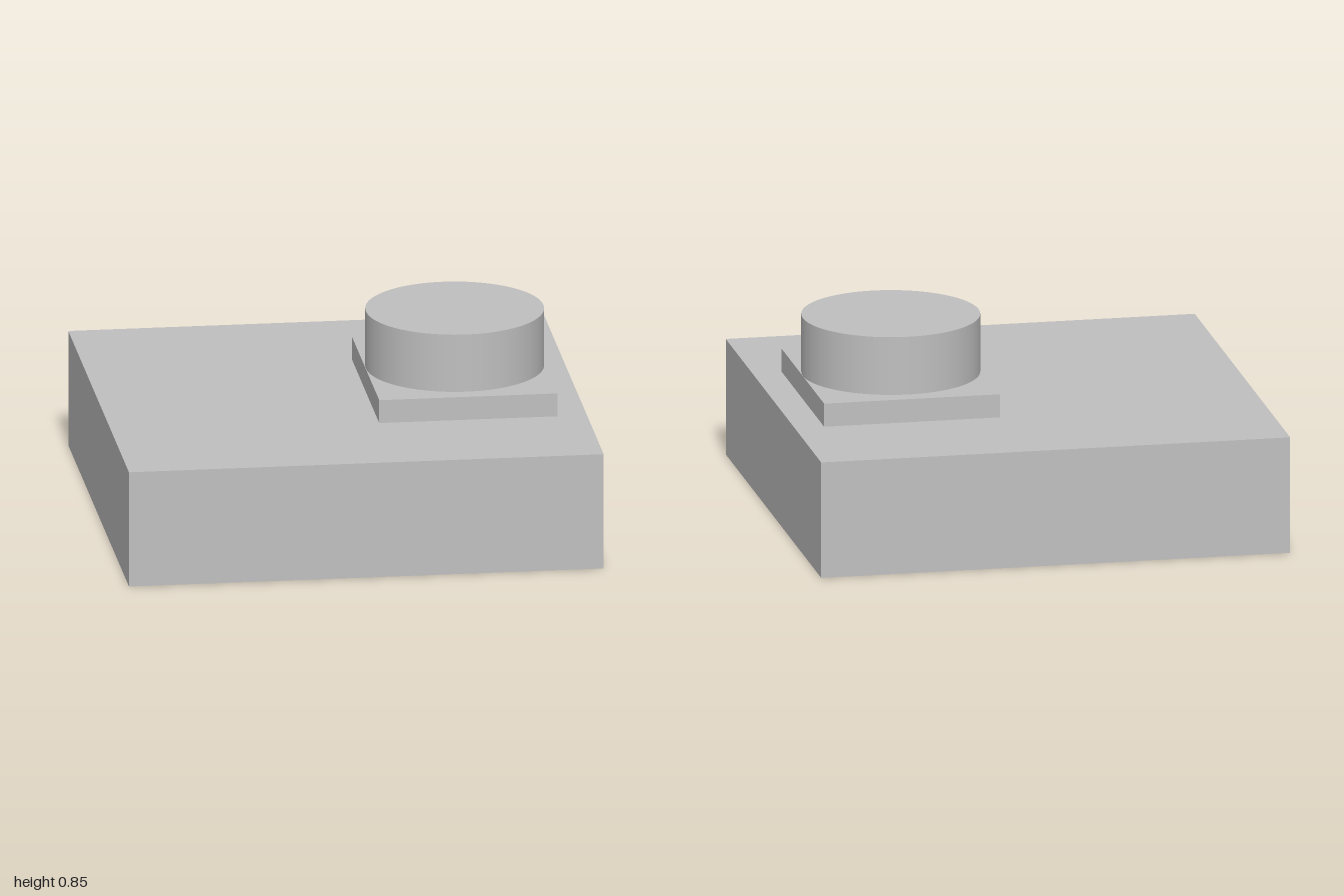
import * as THREE from 'three';

export function createModel() {
  const group = new THREE.Group();
  const grey = new THREE.MeshStandardMaterial({ color: 0xbfbfbf });
  grey.name = 'light grey';

  // Each part stands with its underside at height y
  const add = (name, geometry, height, x, y) => {
    const mesh = new THREE.Mesh(geometry, grey);
    mesh.name = name;
    mesh.position.set(x, y + height / 2, 0);
    group.add(mesh);
  };

  // Square slab
  add('base', new THREE.BoxGeometry(2, 0.5, 2), 0.5, 0, 0);
  // Thin rectangular pad, offset to one side
  add('pad', new THREE.BoxGeometry(0.75, 0.1, 0.894), 0.1, 0.5, 0.5);
  // Round boss on the pad
  add('boss', new THREE.CylinderGeometry(0.374, 0.374, 0.25, 96), 0.25, 0.5, 0.6);

  return group;
}
